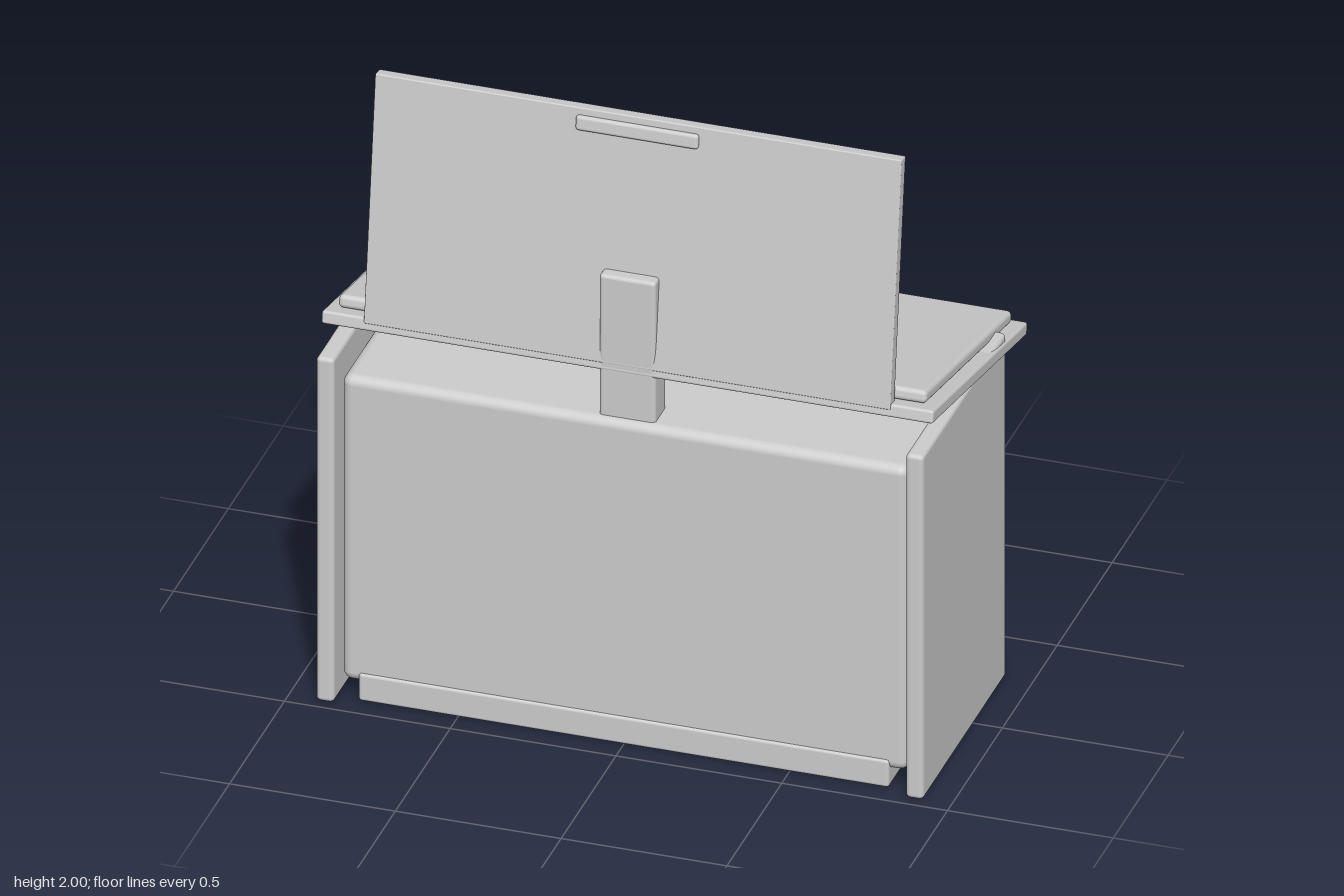
import * as THREE from 'three';
import { RoundedBoxGeometry } from 'three/addons/geometries/RoundedBoxGeometry.js';

export function createModel() {
  const model = new THREE.Group();
  model.name = 'consoleDesk';
  const grey = new THREE.MeshStandardMaterial({ color: 0xcccccc });
  grey.name = 'light grey';

  // Box with softened edges; r = 0 gives sharp edges
  function box(name, size, pos, r = 0, tilt = 0) {
    const geo = r > 0
      ? new RoundedBoxGeometry(size[0], size[1], size[2], 3, r)
      : new THREE.BoxGeometry(...size);
    const mesh = new THREE.Mesh(geo, grey);
    mesh.name = name;
    mesh.position.set(...pos);
    mesh.rotation.x = tilt;
    model.add(mesh);
    return mesh;
  }

  // Cabinet: body, plinth and two side panels
  box('cabinetBody', [1.708, 1.005, 0.685], [0, 0.5575, 0.0825], 0.03);
  box('plinth', [1.6, 0.09, 0.66], [0, 0.045, 0.102], 0.01);
  for (const s of [-1, 1]) {
    box(s > 0 ? 'leftSidePanel' : 'rightSidePanel', [0.054, 1.135, 0.76], [s * 0.889, 0.5675, 0.09], 0.014);
  }

  // Rear access panel with two upright handles
  box('accessPanel', [1.48, 0.55, 0.016], [0, 0.565, -0.262]);
  for (const s of [-1, 1]) {
    box('accessHandle', [0.025, 0.49, 0.024], [s * 0.375, 0.565, -0.272], 0.008);
  }

  // Sloping desk top in two layers
  const slope = -0.2;
  box('deskTop', [1.845, 0.04, 0.88], [0, 1.14, -0.033], 0.008, slope);
  box('deskPad', [1.774, 0.04, 0.8], [0, 1.182, -0.039], 0.014, slope);

  // Control plate with a row of six keys
  box('controlPlate', [1.056, 0.012, 0.27], [0, 1.222, -0.185], 0, slope);
  for (let i = 0; i < 6; i++) {
    box('key', [0.124, 0.02, 0.058], [(i - 2.5) * 0.148, 1.222, -0.221], 0.006, slope);
  }

  // Leaning screen, its raised inner panel and the grip on the outer face
  const lean = -0.135;
  box('screenShell', [1.588, 0.775, 0.04], [0, 1.612, 0.329], 0.004, lean);
  box('screenPanel', [1.52, 0.7, 0.045], [0, 1.62, 0.285], 0.008, lean);
  box('screenGrip', [0.37, 0.046, 0.04], [0, 1.953, 0.295], 0.01, lean);

  // Upright post carrying the screen
  box('screenPost', [0.17, 0.48, 0.1], [0, 1.28, 0.35], 0.012);

  return model;
}
